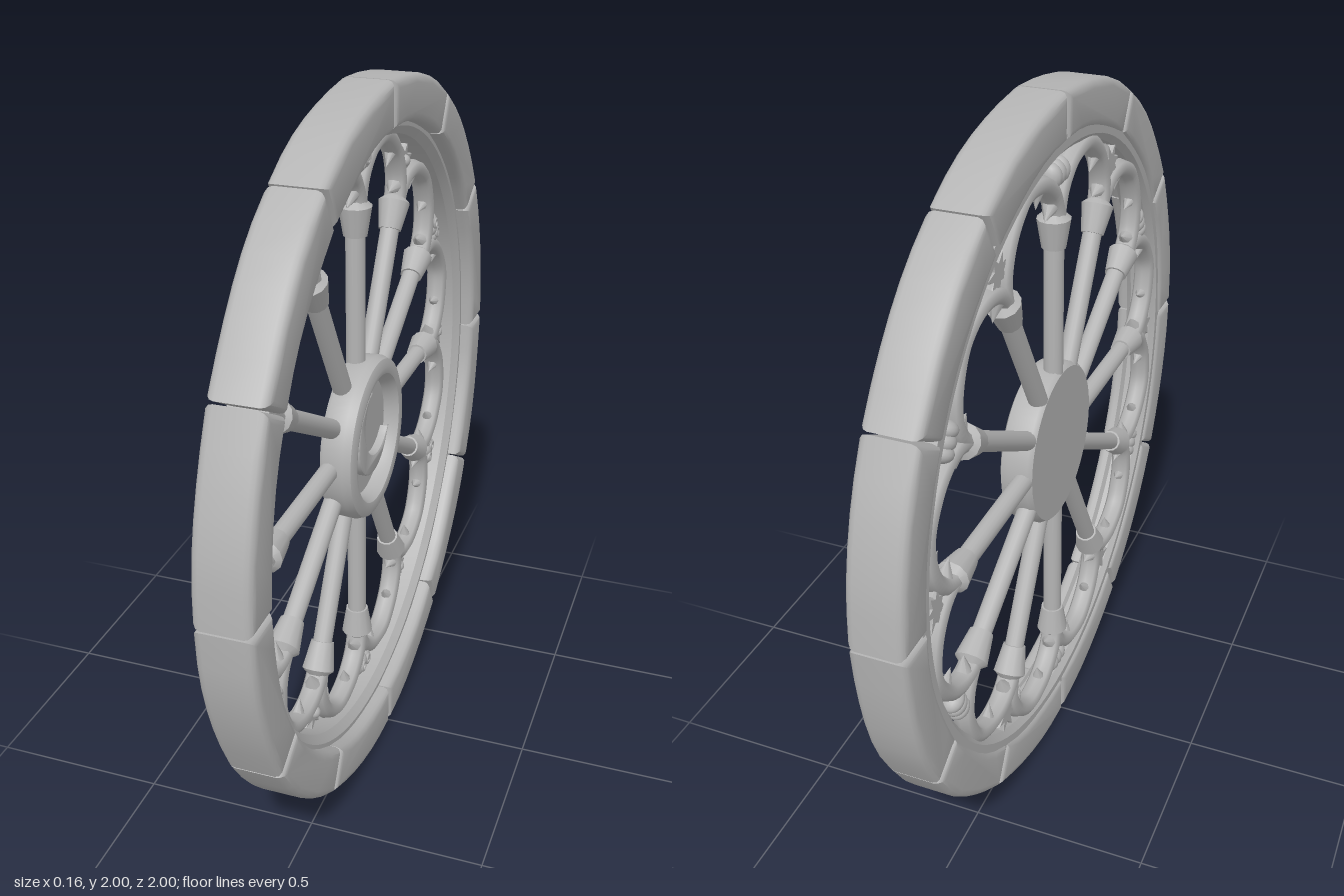
import * as THREE from 'three';
import { toCreasedNormals } from 'three/addons/utils/BufferGeometryUtils.js';

const stone = new THREE.MeshStandardMaterial({ color: 0xb4b4b4 });
stone.name = 'grey stone';
const DEG = Math.PI / 180;
const TRACERY_Z = -0.035; // the tracery sits towards the back of the rim

function add(parent, name, geometry, x = 0, y = 0, z = 0) {
  const mesh = new THREE.Mesh(geometry, stone);
  mesh.name = name;
  mesh.position.set(x, y, z);
  parent.add(mesh);
  return mesh;
}

// A group whose +y points outward from the hub at the given angle
function spokeFrame(parent, name, degrees) {
  const g = new THREE.Group();
  g.name = name;
  g.rotation.z = (degrees - 90) * DEG;
  parent.add(g);
  return g;
}

// One rounded block of the rim, centred on +y
function rimStoneGeometry(wobble) {
  const bevel = 0.022, inner = 0.872 + bevel, outer = 0.998 - bevel;
  const shape = new THREE.Shape();
  const steps = 6, pts = [];
  const arc = (r, dir) => {
    const half = 15 * DEG - (bevel + 0.002) / r;
    for (let i = 0; i <= steps; i++) {
      const t = (i / steps) * 2 - 1;
      const rr = r + wobble * Math.sin(t * 3);
      const a = 90 * DEG + dir * t * half;
      pts.push(new THREE.Vector2(Math.cos(a) * rr, Math.sin(a) * rr));
    }
  };
  arc(outer, 1);
  arc(inner, -1);
  shape.setFromPoints(pts);
  const geo = new THREE.ExtrudeGeometry(shape, {
    depth: 0.15 - bevel * 2, bevelSize: bevel, bevelThickness: bevel, bevelSegments: 3,
  });
  geo.translate(0, 0, -0.075 + bevel);
  return toCreasedNormals(geo, 0.6);
}

function lathe(points, segments = 64) {
  const geo = new THREE.LatheGeometry(points.map(p => new THREE.Vector2(...p)), segments);
  return toCreasedNormals(geo.rotateX(Math.PI / 2), 0.7);
}

// Crescent bounded by two circular arcs, opening to the upper right
function crescentGeometry() {
  const shape = new THREE.Shape();
  shape.absarc(0, 0, 0.13, 60 * DEG, 300 * DEG, false);
  shape.absarc(0.0488, 0, 0.1138, 278.2 * DEG, 81.8 * DEG, true);
  const geo = new THREE.ExtrudeGeometry(shape, {
    depth: 0.02, bevelSize: 0.004, bevelOffset: -0.004, bevelThickness: 0.006, bevelSegments: 2, curveSegments: 24,
  });
  return toCreasedNormals(geo.rotateZ(40 * DEG), 0.7);
}

// Pointed petal arch with inward cusps
function addArch(frame) {
  const half = [[0.163, 0.61], [0.176, 0.67], [0.165, 0.725], [0.118, 0.785], [0.055, 0.82]];
  const pts = [
    ...half.map(([x, y]) => new THREE.Vector3(-x, y, 0)),
    new THREE.Vector3(0, 0.832, 0),
    ...half.slice().reverse().map(([x, y]) => new THREE.Vector3(x, y, 0)),
  ];
  const curve = new THREE.CatmullRomCurve3(pts);
  const tube = new THREE.TubeGeometry(curve, 40, 0.026, 8).scale(1, 1, 1.25);
  add(frame, 'petalArch', tube, 0, 0, TRACERY_Z);
  for (const side of [-1, 1]) {
    for (const [x, y, angle, length] of [[0.137, 0.685, 110, 0.055], [0.085, 0.772, 150, 0.065]]) {
      const cusp = add(frame, 'archCusp', new THREE.ConeGeometry(0.026, length, 8), side * x, y, TRACERY_Z);
      cusp.rotation.z = side * angle * DEG;
    }
  }
}

// Spiky leaf cluster with berries
function addLeaf(frame) {
  const g = new THREE.Group();
  g.name = 'leafOrnament';
  g.position.set(0, 0.79, TRACERY_Z);
  frame.add(g);
  const pts = [];
  for (let i = 0; i < 14; i++) {
    const r = i % 2 ? 0.03 : (i % 4 ? 0.058 : 0.072);
    const a = (i / 14) * Math.PI * 2 + Math.PI / 2;
    pts.push(new THREE.Vector2(Math.cos(a) * r, Math.sin(a) * r * 0.8));
  }
  const geo = new THREE.ExtrudeGeometry(new THREE.Shape(pts), {
    depth: 0.014, bevelSize: 0.005, bevelThickness: 0.008, bevelSegments: 1,
  });
  add(g, 'leaf', geo, 0, 0, -0.01);
  for (const [x, y, r] of [[0, 0, 0.018], [-0.065, -0.01, 0.012], [0.065, -0.01, 0.012], [0.02, -0.045, 0.011]])
    add(g, 'berry', new THREE.SphereGeometry(r, 12, 8), x, y, 0.01);
}

// Small ribbed gourd with round eyes, its stem towards the hub
function addGourd(frame) {
  const g = new THREE.Group();
  g.name = 'gourdOrnament';
  g.position.set(0, 0.79, TRACERY_Z);
  frame.add(g);
  for (const [x, w] of [[-0.028, 0.024], [0, 0.026], [0.028, 0.024]])
    add(g, 'gourdRib', new THREE.SphereGeometry(1, 16, 12).scale(w, 0.036, 0.032), x);
  add(g, 'gourdStem', new THREE.CylinderGeometry(0.012, 0.007, 0.03, 8), 0.003, -0.042);
  for (const x of [-0.02, 0.02])
    add(g, 'gourdEye', new THREE.TorusGeometry(0.013, 0.005, 8, 16), x, 0.002, 0.028);
}

export function createModel() {
  const model = new THREE.Group();
  model.name = 'roseWindow';
  const wheel = new THREE.Group();
  wheel.name = 'wheel';
  wheel.rotation.y = Math.PI / 2; // decorated face turns to +x
  model.add(wheel);

  // Rim lip behind the blocks
  add(wheel, 'rimLip', lathe([
    [0.89, -0.066], [0.89, 0.035], [0.86, 0.035], [0.838, 0.015], [0.838, -0.05], [0.855, -0.066], [0.89, -0.066],
  ], 96));

  // Hub with raised border and flat back
  add(wheel, 'hub', lathe([
    [0, -0.062], [0.222, -0.062], [0.232, -0.05], [0.234, 0.005], [0.226, 0.027], [0.205, 0.037],
    [0.185, 0.033], [0.174, 0.015], [0.168, -0.008], [0, -0.008],
  ])).position.y = 0;
  add(wheel, 'crescent', crescentGeometry(), 0.012, 0.015, -0.01);

  for (let i = 0; i < 12; i++) {
    // Rim block and petal between spokes
    const bay = spokeFrame(wheel, 'bay', i * 30 + 15);
    add(bay, 'rimStone', rimStoneGeometry(0.003 * Math.sin(i * 2.7)));
    addArch(bay);

    // Spoke, capital and the ornament beyond it
    const arm = spokeFrame(wheel, 'arm', i * 30);
    add(arm, 'spoke', new THREE.CylinderGeometry(0.027, 0.027, 0.42, 16), 0, 0.41, TRACERY_Z);
    add(arm, 'capital', new THREE.CylinderGeometry(0.046, 0.033, 0.08, 12), 0, 0.63, TRACERY_Z);
    add(arm, 'capitalTip', new THREE.ConeGeometry(0.046, 0.04, 12), 0, 0.69, TRACERY_Z);
    if (i % 2) addGourd(arm);
    else addLeaf(arm);
  }

  model.position.y = 1;
  const root = new THREE.Group();
  root.name = 'window';
  root.add(model);
  return root;
}
